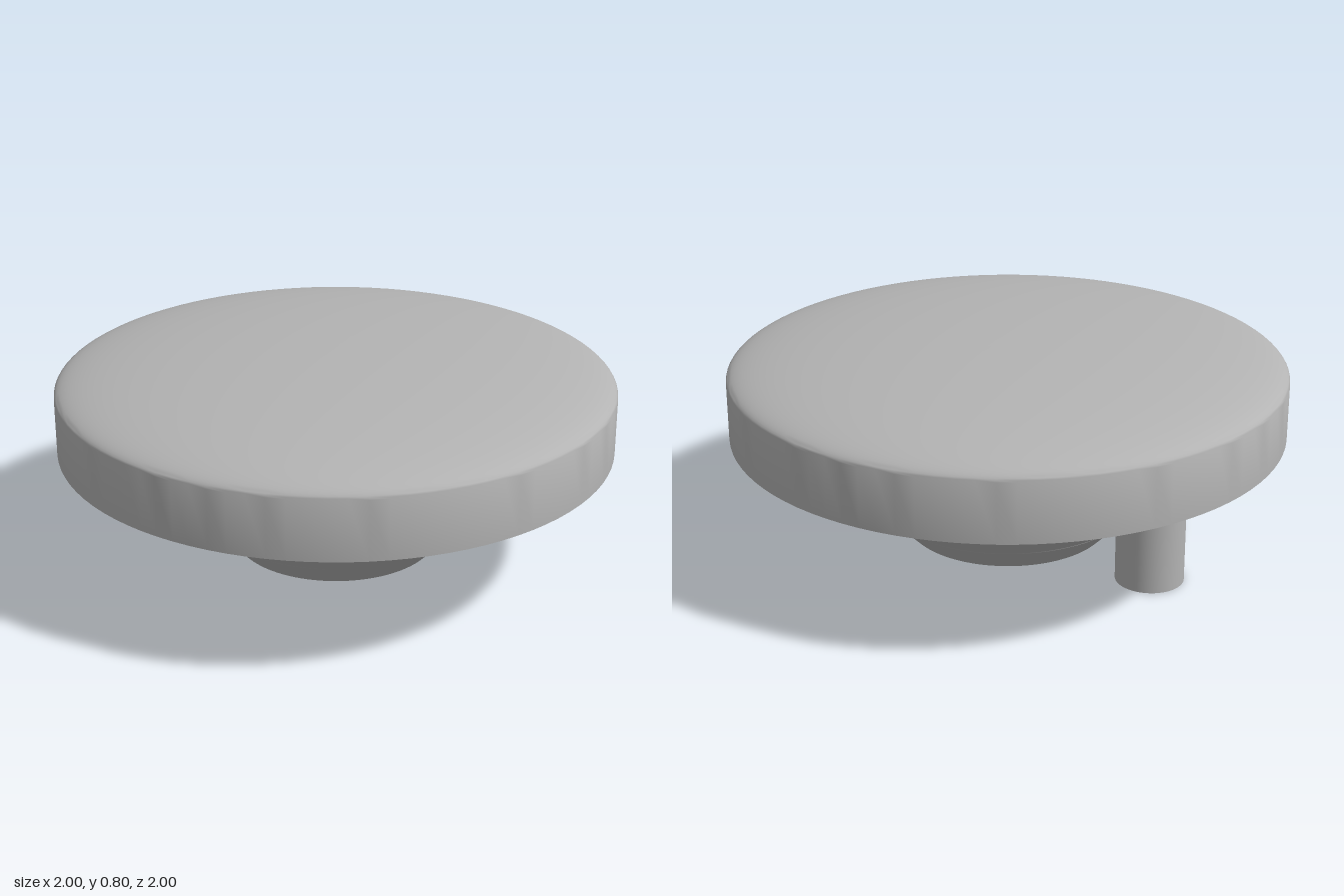
import * as THREE from 'three';
import { toCreasedNormals } from 'three/addons/utils/BufferGeometryUtils.js';
import { ParametricGeometry } from 'three/addons/geometries/ParametricGeometry.js';

const DISC_BASE = 0.467, DISC_RIM = 0.68, TOP = 0.8;
const BOSS_BASE = 0.07, BOSS_EDGE = 0.36;
const BOSS_SMALL = 0.367, BOSS_LARGE = 0.655;
const FLAT = 0.46; // distance of the boss's cut side from the axis
const HOLE = 0.042;

export function createModel() {
  const metal = new THREE.MeshStandardMaterial({ color: 0xb3b3b3 });
  metal.name = 'plain grey';
  const model = new THREE.Group();
  model.name = 'domedKnob';

  const add = (parent, name, geometry) => {
    const mesh = new THREE.Mesh(geometry, metal);
    mesh.name = name;
    parent.add(mesh);
    return mesh;
  };

  // Disc with a shallow elliptical crown
  const profile = [new THREE.Vector2(0, DISC_BASE), new THREE.Vector2(1, DISC_BASE)];
  const steps = 32;
  for (let i = 0; i <= steps; i++) {
    const t = (i / steps) * Math.PI / 2;
    profile.push(new THREE.Vector2(
      i === steps ? 0 : Math.cos(t),
      DISC_RIM + (TOP - DISC_RIM) * Math.sin(t)));
  }
  add(model, 'domedDisc', toCreasedNormals(new THREE.LatheGeometry(profile, 96), 0.9));

  // Tapered boss, sliced flat on its right side
  const boss = new THREE.Group();
  boss.name = 'taperedBoss';
  model.add(boss);
  const slope = (BOSS_LARGE - BOSS_SMALL) / (BOSS_EDGE - BOSS_BASE);
  const radius = y => Math.min(BOSS_LARGE, BOSS_SMALL + (y - BOSS_BASE) * slope);
  const cutStart = BOSS_BASE + (FLAT - BOSS_SMALL) / slope;

  const curvedWall = (name, y0, y1, rows) => add(boss, name, new ParametricGeometry((u, v, p) => {
    const y = y0 + (y1 - y0) * v, r = radius(y);
    const reach = Math.acos(Math.max(-1, -FLAT / r));
    const a = (2 * u - 1) * reach;
    p.set(r * Math.cos(a), y, -r * Math.sin(a));
  }, 96, rows));
  curvedWall('lowerTaper', BOSS_BASE, cutStart, 2);
  curvedWall('upperTaper', cutStart, BOSS_EDGE, 40);
  curvedWall('bossCollar', BOSS_EDGE, DISC_BASE, 1);

  const flatSide = (name, y0, y1, rows) => add(boss, name, new ParametricGeometry((u, v, p) => {
    const y = y0 + (y1 - y0) * v;
    const half = Math.sqrt(Math.max(0, radius(y) ** 2 - FLAT ** 2));
    p.set(-FLAT, y, (2 * u - 1) * half);
  }, 2, rows));
  flatSide('cutFaceLower', cutStart, BOSS_EDGE, 40);
  flatSide('cutFaceUpper', BOSS_EDGE, DISC_BASE, 1);

  // Bottom face with its small centre bore
  const bottom = add(boss, 'bossBottom', new THREE.RingGeometry(HOLE, BOSS_SMALL, 96));
  bottom.rotation.x = Math.PI / 2;
  bottom.position.y = BOSS_BASE;
  const bore = [[HOLE, 0.37], [HOLE, BOSS_BASE]].map(([x, y]) => new THREE.Vector2(x, y));
  add(boss, 'centreBore', new THREE.LatheGeometry(bore, 32));
  const boreEnd = add(boss, 'boreEnd', new THREE.CircleGeometry(HOLE, 32));
  boreEnd.rotation.x = Math.PI / 2;
  boreEnd.position.y = 0.37;

  // Offset pin beside the cut face
  const pinHeight = DISC_BASE;
  const pin = add(model, 'offsetPin', new THREE.CylinderGeometry(0.123, 0.123, pinHeight, 48));
  pin.position.set(-0.594, pinHeight / 2, 0);

  return model;
}
